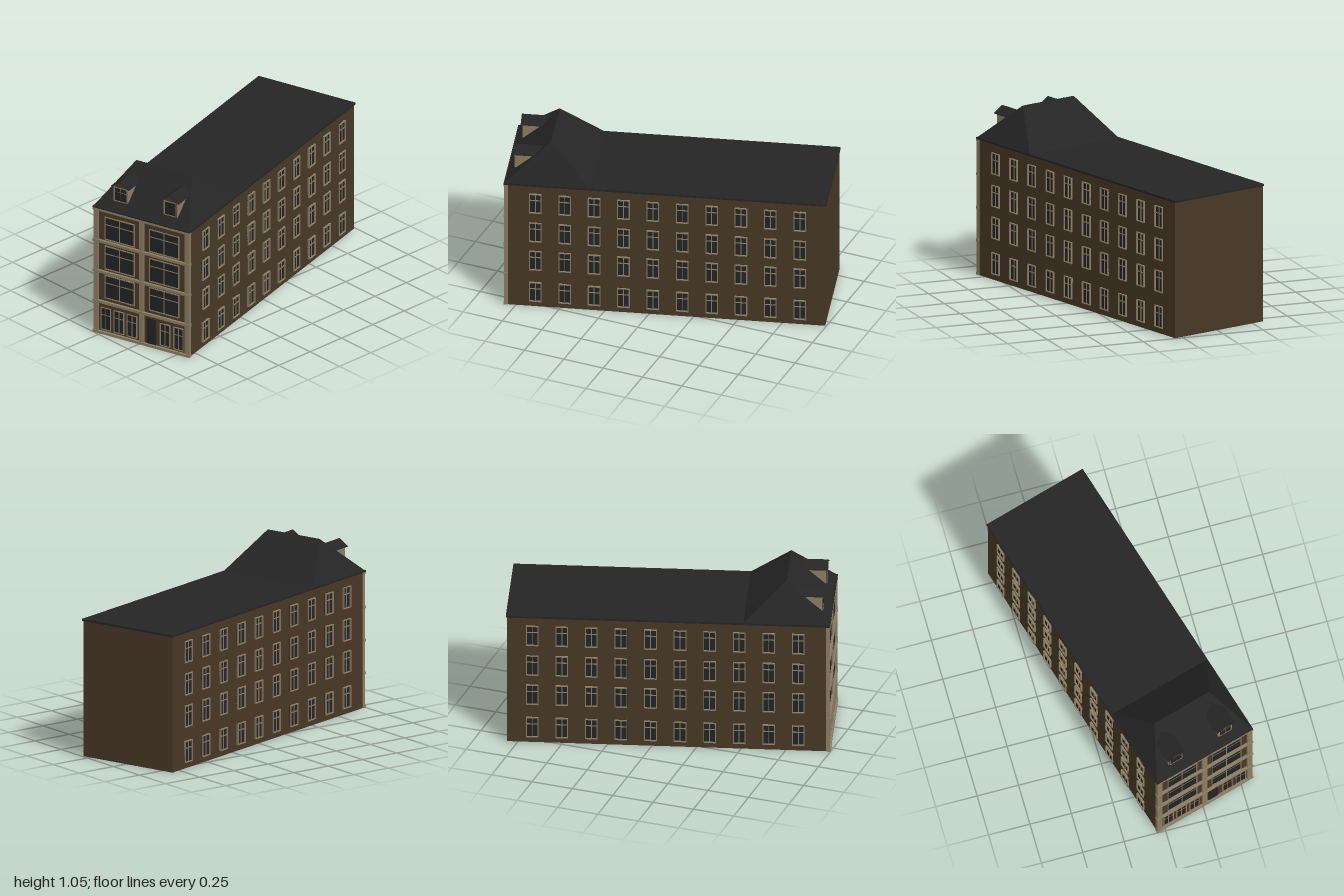
import * as THREE from 'three';
import { ConvexGeometry } from 'three/addons/geometries/ConvexGeometry.js';

const mat = (name, color) => Object.assign(new THREE.MeshStandardMaterial({ color }), { name });

export function createModel() {
  const M = {
    wall: mat('brownBrick', 0x473825),
    trim: mat('sandstone', 0x8c7d62),
    roof: mat('darkRoof', 0x252525),
    glass: mat('darkGlass', 0x222325),
  };
  const model = new THREE.Group();
  model.name = 'townHouse';
  const house = new THREE.Group();
  house.name = 'house';
  house.rotation.y = 0.283;
  model.add(house);

  // Box given by its limits on each axis
  function box(parent, name, m, x0, x1, y0, y1, z0, z1) {
    const mesh = new THREE.Mesh(new THREE.BoxGeometry(x1 - x0, y1 - y0, z1 - z0), m);
    mesh.position.set((x0 + x1) / 2, (y0 + y1) / 2, (z0 + z1) / 2);
    mesh.name = name;
    parent.add(mesh);
    return mesh;
  }

  // Two-light window facing +z, origin at the middle of its sill
  function makeWindow(name, w, h, bar, depth, transom = 0.66) {
    const g = new THREE.Group();
    g.name = name;
    const a = w / 2, d = depth * 0.6;
    box(g, 'pane', M.glass, -a, a, 0, h, -0.004, 0.003);
    for (const s of [-1, 1]) {
      const x = s * (a - bar / 2);
      box(g, 'frameSide', M.trim, x - bar / 2, x + bar / 2, 0, h, 0, depth);
    }
    box(g, 'sill', M.trim, -a, a, 0, bar, 0, depth);
    box(g, 'lintel', M.trim, -a, a, h - bar, h, 0, depth);
    box(g, 'mullion', M.trim, -bar / 2, bar / 2, bar, h - bar, 0, d);
    box(g, 'transom', M.trim, -a + bar, a - bar, h * transom - bar / 2, h * transom + bar / 2, 0, d);
    return g;
  }
  function place(parent, part, x, y, z, turn = 0) {
    part.position.set(x, y, z);
    part.rotation.y = turn;
    parent.add(part);
  }

  // Main body and flat roof
  const HW = 0.322, FRONT = 0.932;
  box(house, 'walls', M.wall, -HW, HW, 0, 0.815, -0.94, FRONT);
  box(house, 'flatRoof', M.roof, -0.328, 0.328, 0.814, 0.826, -0.946, 0.946);

  // Hipped roof over the front
  const hip = [-1, 1].flatMap((s) => [
    new THREE.Vector3(s * 0.328, 0.82, 0.946),
    new THREE.Vector3(s * 0.328, 0.82, 0.432),
    new THREE.Vector3(s * 0.187, 1.046, 0.684),
  ]);
  const hipRoof = new THREE.Mesh(new ConvexGeometry(hip), M.roof);
  hipRoof.name = 'hippedRoof';
  house.add(hipRoof);

  // Side windows: ten columns on four floors, both sides
  for (const y of [0.035, 0.248, 0.44, 0.635])
    for (let i = 0; i < 10; i++)
      for (const s of [-1, 1])
        place(house, makeWindow('sideWindow', 0.073, 0.13, 0.005, 0.012),
          s * HW, y, 0.76 - i * 0.1724, s * Math.PI / 2);

  // Facade pilasters and floor bands
  for (const [x0, x1] of [[-0.325, -0.291], [-0.016, 0.016], [0.291, 0.325]])
    box(house, 'pilaster', M.trim, x0, x1, 0, 0.814, FRONT - 0.01, 0.943);
  for (const [y0, y1] of [[0, 0.016], [0.2, 0.216], [0.398, 0.414], [0.597, 0.613], [0.804, 0.817]])
    box(house, 'floorBand', M.trim, -0.328, 0.328, y0, y1, FRONT - 0.01, 0.948);

  // Large facade windows
  for (const [y, h] of [[0.235, 0.153], [0.425, 0.155], [0.62, 0.15]])
    for (const x of [-0.151, 0.151])
      place(house, makeWindow('facadeWindow', 0.203, h, 0.006, 0.007), x, y, FRONT);

  // Ground floor windows and door
  for (const x of [-0.245, -0.156, -0.068, 0.157, 0.248])
    place(house, makeWindow('groundWindow', 0.069, 0.147, 0.005, 0.007), x, 0.025, FRONT);
  box(house, 'door', M.glass, 0.032, 0.094, 0.016, 0.18, FRONT, FRONT + 0.004);

  // Dormers
  for (const x of [-0.169, 0.168]) {
    const dormer = new THREE.Group();
    dormer.name = 'dormer';
    box(dormer, 'dormerBody', M.trim, -0.048, 0.048, 0.862, 0.966, 0.76, 0.892);
    place(dormer, makeWindow('dormerWindow', 0.084, 0.092, 0.005, 0.005), 0, 0.868, 0.892);

    const tri = new THREE.Shape([[-0.05, 0.963], [0.05, 0.963], [0, 0.997]].map((p) => new THREE.Vector2(...p)));
    const gable = new THREE.Mesh(
      new THREE.ExtrudeGeometry(tri, { depth: 0.16, bevelEnabled: false }), M.wall);
    gable.name = 'gable';
    gable.position.z = 0.738;
    dormer.add(gable);

    const chevron = new THREE.Shape([[-0.06, 0.96], [0, 0.998], [0.06, 0.96], [0.06, 0.964], [0, 1.003], [-0.06, 0.964]]
      .map((p) => new THREE.Vector2(...p)));
    const cover = new THREE.Mesh(
      new THREE.ExtrudeGeometry(chevron, { depth: 0.17, bevelEnabled: false }), M.roof);
    cover.name = 'dormerRoof';
    cover.position.z = 0.734;
    dormer.add(cover);
    place(house, dormer, x, 0, 0);
  }
  return model;
}
